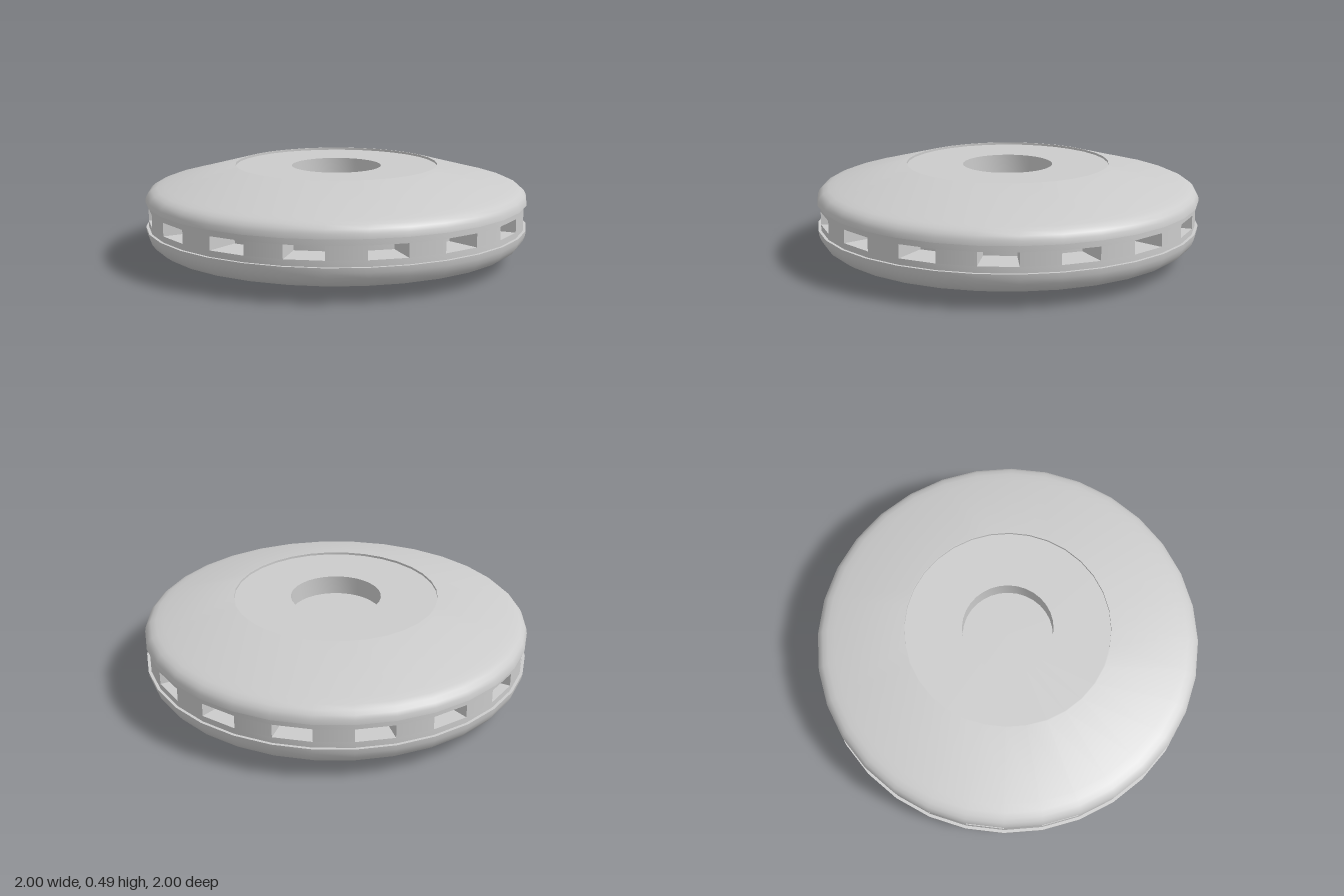
import * as THREE from 'three';
import { toCreasedNormals } from 'three/addons/utils/BufferGeometryUtils.js';

const SIDES = 32;
const STEP = (Math.PI * 2) / SIDES;
const BAND_R = 0.985, CORE_R = 0.81;   // band face and back of the windows
const SILL = 0.211, HEAD = 0.279;      // window bottom and top

export function createModel() {
  const model = new THREE.Group();
  model.name = 'ventedDisc';
  const grey = new THREE.MeshStandardMaterial({ color: 0xcccccc });
  const greyThin = new THREE.MeshStandardMaterial({ color: 0xcccccc, side: THREE.DoubleSide });

  const add = (parent, name, geometry, material = grey) => {
    const mesh = new THREE.Mesh(geometry, material);
    mesh.name = name;
    parent.add(mesh);
    return mesh;
  };

  const turn = (name, profile) => {
    const points = profile.map(([r, y]) => new THREE.Vector2(r, y));
    return add(model, name, toCreasedNormals(new THREE.LatheGeometry(points, SIDES), 0.5));
  };

  // Lower shell: shallow recess, gentle cone and rounded shoulder
  turn('lowerShell', [
    [0, 0.03], [0.285, 0.03], [0.285, 0], [0.9, 0.068], [0.94, 0.08],
    [0.968, 0.1], [0.987, 0.127], [0.997, 0.155], [1, 0.18], [BAND_R, 0.18],
  ]);

  // Band: two rails with a deep channel between them
  turn('ventBand', [
    [BAND_R, 0.18], [BAND_R, SILL], [CORE_R, SILL],
    [CORE_R, HEAD], [BAND_R, HEAD], [BAND_R, 0.312],
  ]);

  // Upper shell: rounded shoulder, cone, sunken plate and central well
  turn('upperShell', [
    [BAND_R, 0.312], [1, 0.312], [0.997, 0.335], [0.987, 0.355],
    [0.968, 0.372], [0.94, 0.384], [0.9, 0.394], [0.535, 0.492],
    [0.53, 0.492], [0.53, 0.48], [0.235, 0.48], [0.235, 0.38], [0, 0.38],
  ]);

  // Posts divide the channel into sixteen windows
  const face = [new THREE.Vector2(BAND_R, SILL), new THREE.Vector2(BAND_R, HEAD)];
  const wall = new THREE.PlaneGeometry(BAND_R - CORE_R, HEAD - SILL);
  wall.translate((BAND_R + CORE_R) / 2, (SILL + HEAD) / 2, 0);
  wall.rotateY(-Math.PI / 2);
  for (let i = 0; i < SIDES; i += 2) {
    const post = new THREE.Group();
    post.name = 'post';
    add(post, 'postFace', new THREE.LatheGeometry(face, 1, 0, STEP));
    add(post, 'postSide', wall, greyThin);
    add(post, 'postSide', wall, greyThin).rotation.y = STEP;
    post.rotation.y = i * STEP;
    model.add(post);
  }

  return model;
}
